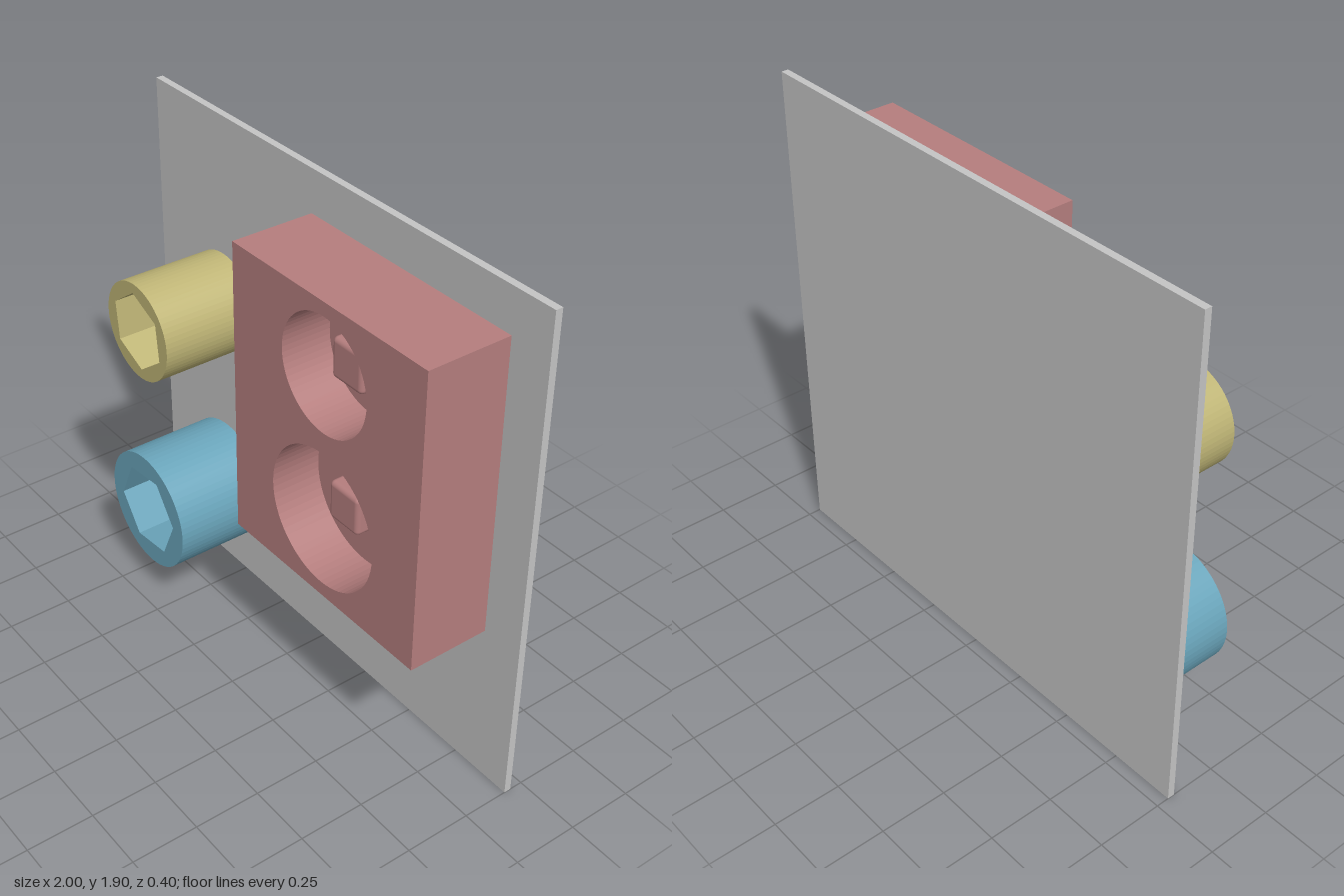
import * as THREE from 'three';
import { RoundedBoxGeometry } from 'three/addons/geometries/RoundedBoxGeometry.js';

const PLATE_FRONT = -0.175;

const mat = (name, color) => {
  const m = new THREE.MeshStandardMaterial({ color });
  m.name = name;
  return m;
};

// Closed circular outline
const circle = (Kind, x, y, r) => {
  const p = new Kind();
  p.absarc(x, y, r, 0, Math.PI * 2, false);
  return p;
};

// Hexagonal outline turned by an angle in degrees
const hexagon = (x, y, r, deg) => {
  const points = [];
  for (let i = 0; i < 6; i++) {
    const a = THREE.MathUtils.degToRad(deg + i * 60);
    points.push(new THREE.Vector2(x + r * Math.cos(a), y + r * Math.sin(a)));
  }
  return new THREE.Shape(points);
};

export function createModel() {
  const model = new THREE.Group();
  const grey = mat('plate grey', 0xc4c4c4);
  const red = mat('dusty red', 0xb57e7e);
  const yellow = mat('dull yellow', 0xbfb576);
  const blue = mat('muted blue', 0x6aa5bb);

  const add = (parent, name, geometry, material, x = 0, y = 0, z = 0) => {
    const mesh = new THREE.Mesh(geometry, material);
    mesh.name = name;
    mesh.position.set(x, y, z);
    parent.add(mesh);
  };

  // Solid standing out from the plate, with blind recesses in its front
  const recessed = (name, outline, recesses, front, depth, material) => {
    const group = new THREE.Group();
    group.name = name;
    outline.holes.push(...recesses);
    const body = new THREE.ExtrudeGeometry(outline, {
      depth: front - PLATE_FRONT, bevelEnabled: false, curveSegments: 32,
    });
    add(group, name + 'Body', body, material, 0, 0, PLATE_FRONT);
    for (const r of recesses) {
      add(group, name + 'RecessFloor', new THREE.ShapeGeometry(r, 32), material, 0, 0, front - depth);
    }
    model.add(group);
    return group;
  };

  // Back plate
  add(model, 'backPlate', new THREE.BoxGeometry(2, 1.9, 0.027), grey, 0, 0.95, -0.1875);

  // Cylinders with hexagonal sockets
  recessed('upperSocket', circle(THREE.Shape, -0.61, 1.18, 0.188),
    [hexagon(-0.61, 1.18, 0.15, 36)], 0.2, 0.22, yellow);
  recessed('lowerSocket', circle(THREE.Shape, -0.61, 0.395, 0.235),
    [hexagon(-0.61, 0.395, 0.173, 5.5)], 0.2, 0.23, blue);

  // Block with two round wells
  const outline = new THREE.Shape([
    [-0.1, 0.617], [0.84, 0.617], [0.84, 1.74], [-0.1, 1.74],
  ].map(([x, y]) => new THREE.Vector2(x, y)));
  const wells = [[1.48, 0.21], [0.93, 0.26]];
  const block = recessed('wellBlock', outline,
    wells.map(([y, r]) => circle(THREE.Shape, 0.37, y, r)), 0.14, 0.19, red);

  // Soft-edged square peg in each well, sunk a little into the floor
  for (const [y] of wells) {
    add(block, 'peg', new RoundedBoxGeometry(0.15, 0.15, 0.15, 3, 0.018), red, 0.37, y, -0.025);
  }
  return model;
}
